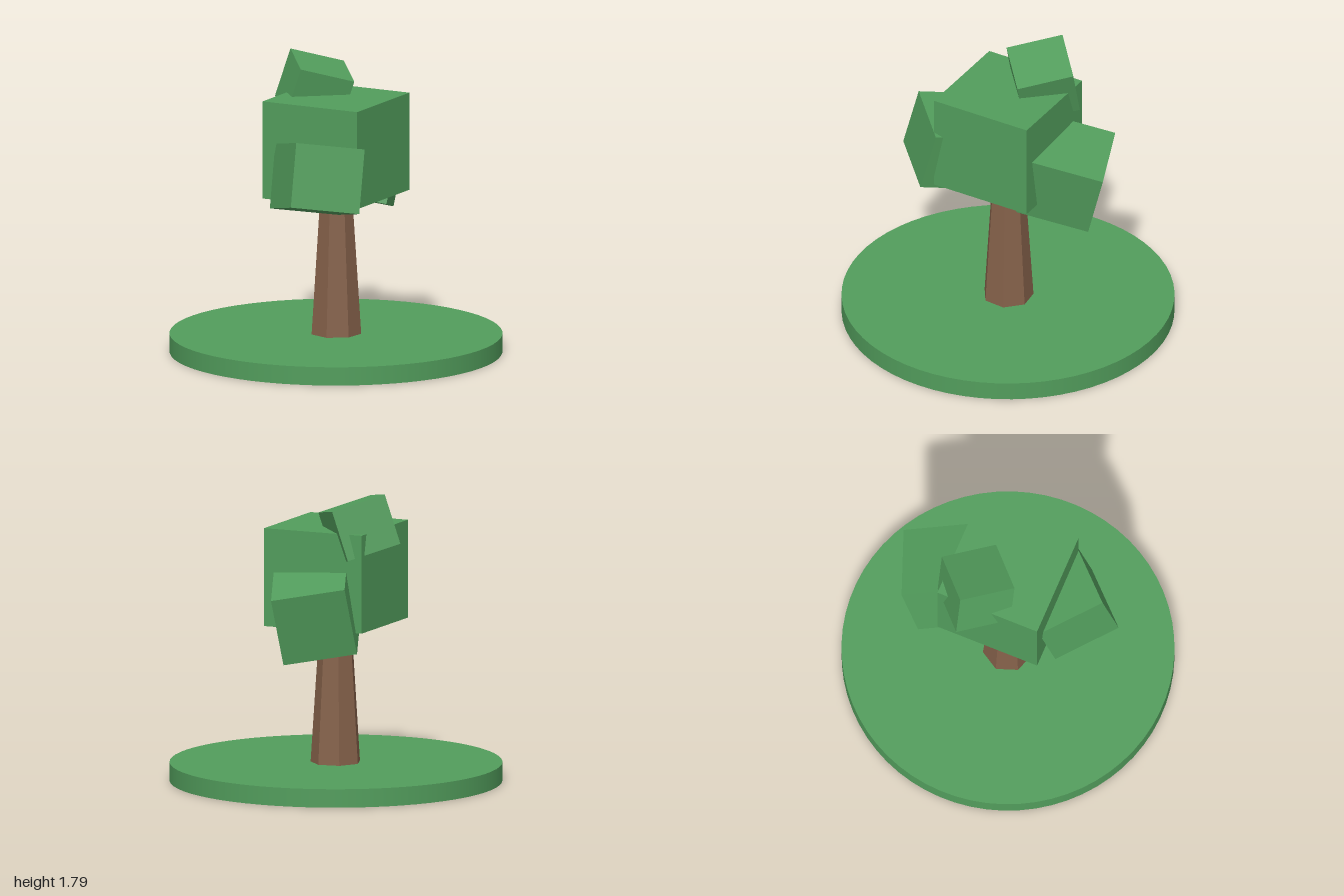
import * as THREE from 'three';

export function createModel() {
  const model = new THREE.Group();
  const green = new THREE.MeshStandardMaterial({ name: 'leafGreen', color: 0x529d5c });
  const brown = new THREE.MeshStandardMaterial({ name: 'barkBrown', color: 0x85614a });
  brown.flatShading = true;

  function add(name, geometry, material) {
    const mesh = new THREE.Mesh(geometry, material);
    mesh.name = name;
    model.add(mesh);
    return mesh;
  }

  // Round grass disc
  add('grassBase', new THREE.CylinderGeometry(1, 1, 0.112, 64), green).position.y = 0.056;

  // Tapered seven-sided trunk, its top hidden in the crown
  const trunkBottom = 0.1, trunkTop = 1.0;
  const trunk = add('trunk',
    new THREE.CylinderGeometry(0.096, 0.154, trunkTop - trunkBottom, 7, 1, false, -0.227), brown);
  trunk.position.y = (trunkBottom + trunkTop) / 2;

  // Tilted foliage block: centre, size, and directions of its own x and y axes
  function foliage(name, centre, size, xDir, yDir) {
    const x = new THREE.Vector3(...xDir).normalize();
    const z = new THREE.Vector3().crossVectors(x, new THREE.Vector3(...yDir)).normalize();
    const y = new THREE.Vector3().crossVectors(z, x);
    const block = add(name, new THREE.BoxGeometry(...size), green);
    block.quaternion.setFromRotationMatrix(new THREE.Matrix4().makeBasis(x, y, z));
    block.position.set(...centre);
  }

  foliage('mainFoliage', [0, 1.262, 0], [0.648, 0.596, 0.648], [0.615, 0, -0.205], [0, 1, 0]);
  foliage('rightFoliage', [-0.31, 1.128, 0.17], [0.432, 0.39, 0.425],
    [0.385, -0.065, 0.195], [0.08, 0.375, -0.05]);
  foliage('leftFoliage', [0.345, 1.078, -0.16], [0.449, 0.425, 0.449],
    [0.325, -0.105, -0.29], [0.125, 0.41, -0.015]);
  foliage('topFoliage', [0.046, 1.568, -0.239], [0.342, 0.312, 0.345],
    [0.285, -0.09, 0.16], [0.14, 0.949, 0.283]);

  return model;
}
